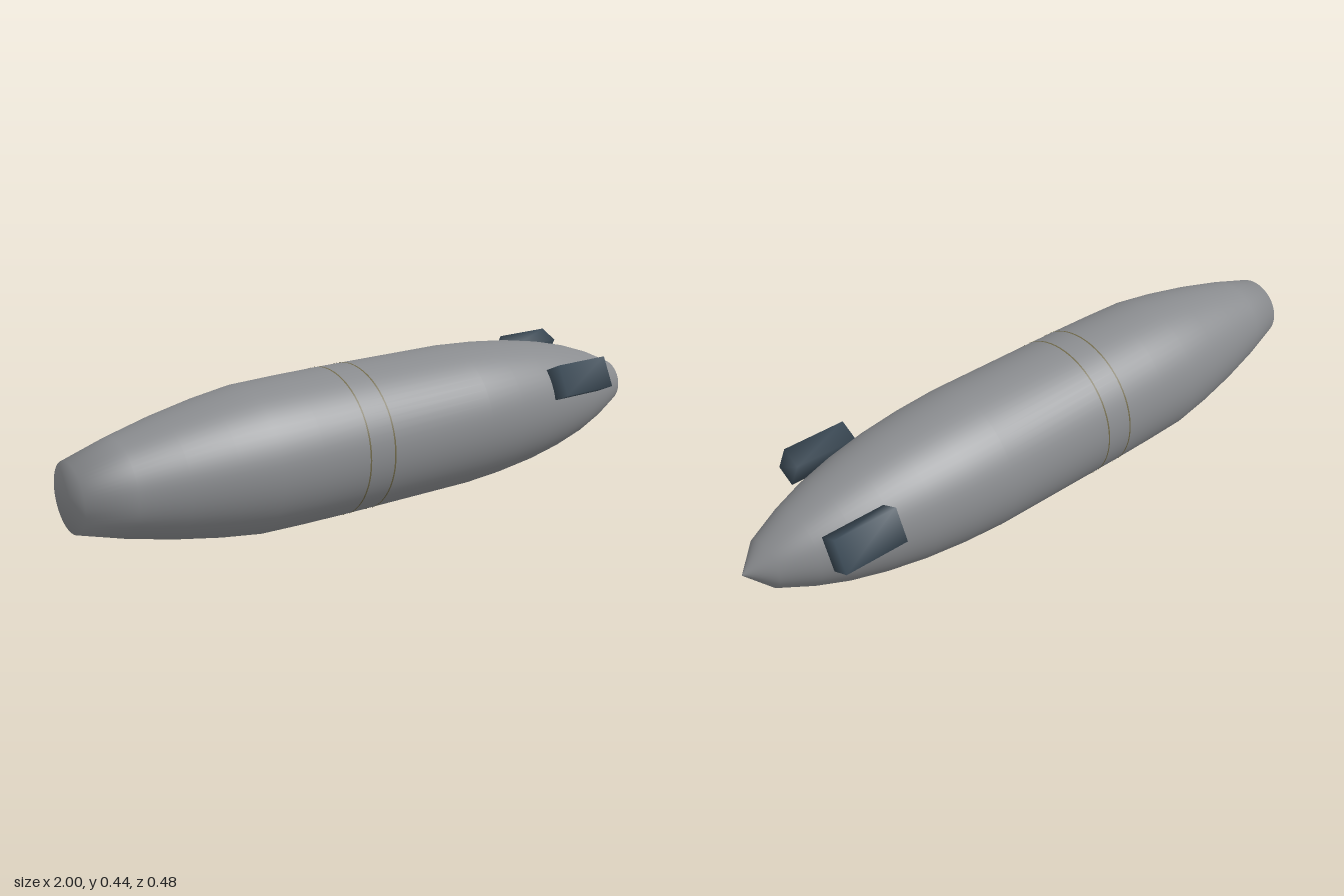
import * as THREE from 'three';
import { mergeVertices } from 'three/addons/utils/BufferGeometryUtils.js';

const AXIS_Y = 0.22; // height of the hull's centre line

const material = (name, color) => {
  const m = new THREE.MeshStandardMaterial({ color });
  m.name = name;
  return m;
};

// Box with shared corners, so its shading is soft
function softBox(w, h, d) {
  const g = new THREE.BoxGeometry(w, h, d);
  g.deleteAttribute('normal');
  g.deleteAttribute('uv');
  const merged = mergeVertices(g);
  merged.computeVertexNormals();
  return merged;
}

export function createModel() {
  const model = new THREE.Group();
  const hullGrey = material('hull grey', 0x8a8c8f);
  const slate = material('dark slate', 0x3c4b57);
  const khaki = material('khaki', 0x6e6748);
  khaki.side = THREE.DoubleSide;

  const add = (name, geometry, mat, x, y, z) => {
    const mesh = new THREE.Mesh(geometry, mat);
    mesh.name = name;
    mesh.position.set(x, y, z);
    model.add(mesh);
    return mesh;
  };

  // Hull: [radius, station] from the blunt tail to the pointed nose
  const profile = [
    [0, -1], [0.098, -1], [0.137, -0.87], [0.17, -0.735], [0.196, -0.6],
    [0.213, -0.48], [0.2165, -0.35], [0.2185, -0.2], [0.2185, 0.25],
    [0.211, 0.38], [0.197, 0.51], [0.176, 0.63], [0.15, 0.735],
    [0.117, 0.83], [0.072, 0.93], [0, 1],
  ].map(([r, s]) => new THREE.Vector2(r, s));
  const hull = new THREE.LatheGeometry(profile, 64).rotateZ(-Math.PI / 2);
  add('hull', hull, hullGrey, 0, AXIS_Y, 0);

  // Two fine seam bands around the middle
  for (const x of [-0.2, -0.115]) {
    const band = new THREE.CylinderGeometry(0.22, 0.22, 0.005, 64, 1, true).rotateZ(Math.PI / 2);
    add('seamBand', band, khaki, x, AXIS_Y, 0);
  }

  // Staggered side pods, tilted to lie against the hull
  for (const [name, x, side] of [['frontPod', 0.625, 1], ['backPod', 0.735, -1]]) {
    const pod = add(name, softBox(0.193, 0.098, 0.065), slate, x, 0.3185, side * 0.1915);
    pod.rotation.x = -side * 0.45;
  }

  return model;
}
